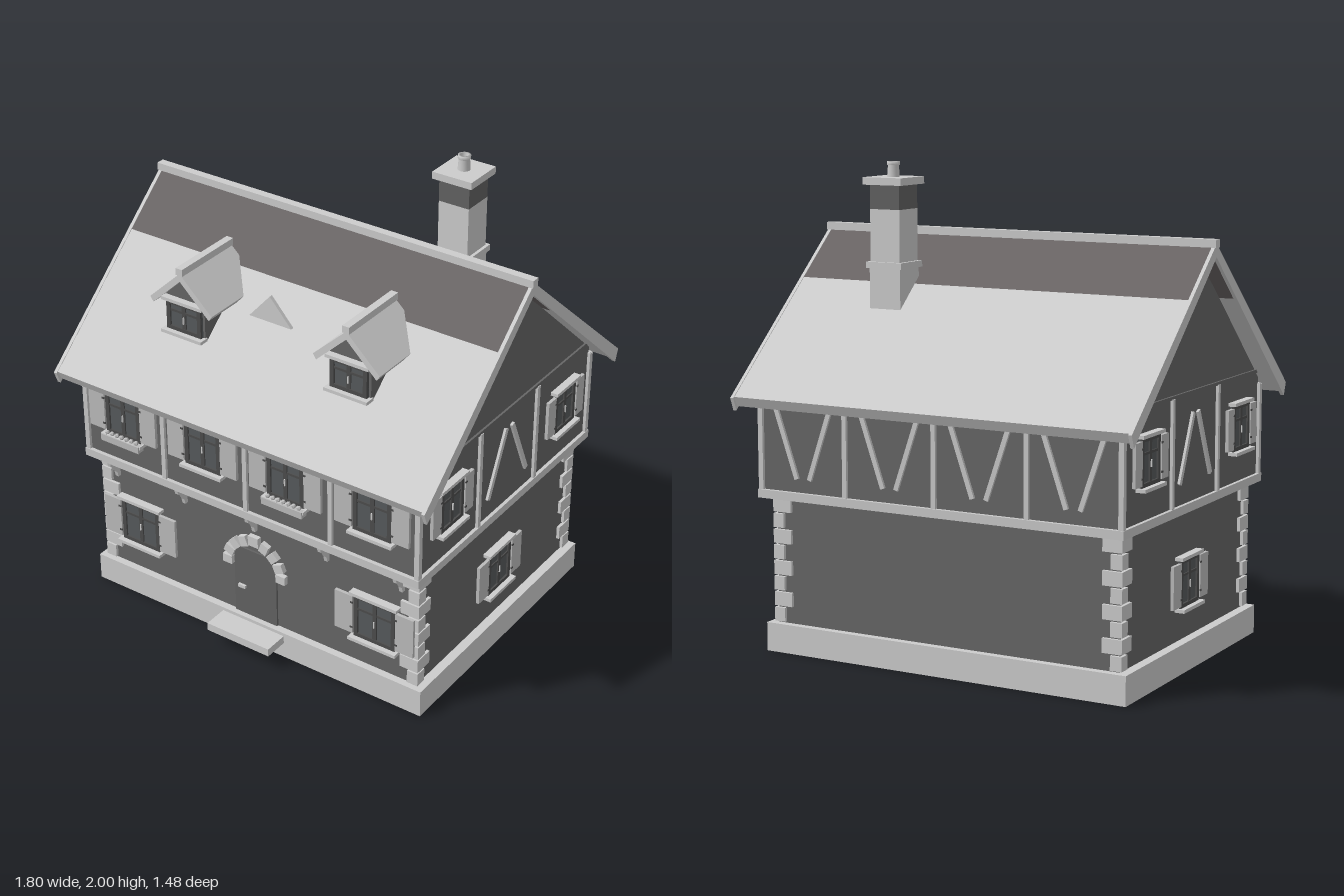
import * as THREE from 'three';

const mat = (name, color) => Object.assign(new THREE.MeshStandardMaterial({ color }), { name });

export function createModel() {
  const M = {
    stone: mat('pale stone', 0xcccccc),
    timber: mat('pale timber', 0xc8c8c8),
    shutter: mat('shutter paint', 0xbbbbbb),
    wall: mat('dark plaster', 0x666666),
    roofDark: mat('dark roof tile', 0x696464),
    frame: mat('window frame', 0x4c4c4c),
    glass: mat('window glass', 0x565a5c),
    door: mat('door wood', 0x626262),
    soot: mat('chimney soot', 0x626262),
  };
  const house = new THREE.Group();
  house.name = 'house';

  const add = (parent, name, geo, m, x = 0, y = 0, z = 0) => {
    const mesh = new THREE.Mesh(geo, m);
    mesh.name = name;
    mesh.position.set(x, y, z);
    parent.add(mesh);
    return mesh;
  };
  const box = (parent, name, m, w, h, d, x, y, z) =>
    add(parent, name, new THREE.BoxGeometry(w, h, d), m, x, y, z);
  const group = (parent, name, x = 0, y = 0, z = 0, turn = 0) => {
    const g = new THREE.Group();
    g.name = name;
    g.position.set(x, y, z);
    g.rotation.y = turn;
    parent.add(g);
    return g;
  };
  const extrude = (pts, depth) => new THREE.ExtrudeGeometry(
    new THREE.Shape(pts.map(p => new THREE.Vector2(...p))), { depth, bevelEnabled: false });
  // Prism with a (z, y) outline running along x
  const prismX = (parent, name, m, pts, x0, x1) => {
    const mesh = add(parent, name, extrude(pts, x1 - x0), m, x1);
    mesh.rotation.y = -Math.PI / 2;
    return mesh;
  };
  // Straight timber between two points of a facade
  const strut = (parent, x0, y0, x1, y1, z) => {
    const b = box(parent, 'brace', M.timber, 0.02, Math.hypot(x1 - x0, y1 - y0), 0.016,
      (x0 + x1) / 2, (y0 + y1) / 2, z);
    b.rotation.z = -Math.atan2(x1 - x0, y1 - y0);
  };

  // Window facing +z, centred on its opening
  const windowUnit = (parent, x, y, z, w, h, { shutter = 0, planter = false } = {}) => {
    const g = group(parent, 'window', x, y, z);
    box(g, 'glass', M.glass, w, h, 0.012, 0, 0, 0.002);
    for (const s of [-1, 1]) {
      box(g, 'frameSide', M.frame, 0.018, h, 0.024, s * (w / 2 - 0.009), 0, 0.004);
      box(g, 'frameRail', M.frame, w, 0.016, 0.024, 0, s * (h / 2 - 0.008), 0.004);
      if (shutter) {
        box(g, 'shutter', M.shutter, shutter, h * 0.9, 0.014, s * (w / 2 + shutter / 2 + 0.004), 0, 0.013);
        for (const v of [-0.3, 0.3])
          box(g, 'hinge', M.frame, 0.012, 0.008, 0.004, s * (w / 2 + 0.008), v * h, 0.02);
      }
    }
    box(g, 'mullion', M.frame, 0.018, h, 0.02, 0, 0, 0.004);
    box(g, 'transom', M.frame, w, 0.01, 0.018, 0, h * 0.17, 0.004);
    box(g, 'handle', M.stone, 0.005, 0.03, 0.006, 0, -0.01, 0.016);
    box(g, 'lintel', M.stone, w + 0.03, 0.014, 0.035, 0, h / 2 + 0.007, 0.012);
    box(g, 'sill', M.stone, w + 0.03, 0.014, 0.045, 0, -h / 2 - 0.007, 0.015);
    if (planter) {
      box(g, 'planter', M.shutter, w + 0.02, 0.03, 0.035, 0, -h / 2 - 0.015, 0.026);
      for (let i = -3; i <= 3; i++)
        add(g, 'flower', new THREE.IcosahedronGeometry(0.011, 0), M.shutter, i * w / 7, -h / 2 + 0.006, 0.028);
    }
  };

  // Foundation, walls and step
  box(house, 'foundation', M.stone, 1.64, 0.12, 1.234, 0, 0.06, 0);
  box(house, 'groundFloor', M.wall, 1.56, 0.54, 1.17, 0, 0.385, 0);
  box(house, 'upperFloor', M.wall, 1.62, 0.45, 1.28, 0, 0.87, 0).scale.y = 0.97;
  prismX(house, 'attic', M.wall,
    [[-0.64, 1.06], [0.64, 1.06], [0.64, 1.105], [0, 1.66], [-0.64, 1.105]], -0.81, 0.81);
  box(house, 'doorStep', M.stone, 0.31, 0.035, 0.125, 0, 0.088, 0.662);

  // Corner stones of alternating length
  for (const sx of [-1, 1]) for (const sz of [-1, 1]) for (let i = 0; i < 8; i++) {
    const a = i % 2 ? 0.085 : 0.05, b = i % 2 ? 0.085 : 0.05;
    box(house, 'cornerStone', M.stone, a, 0.058, b,
      sx * (0.793 - a / 2), 0.155 + i * 0.0655, sz * (0.598 - b / 2));
  }

  // Timber frame: sill beams, eaves beams, corner posts
  for (const s of [-1, 1]) {
    box(house, 'sillBeam', M.timber, 1.65, 0.035, 0.03, 0, 0.667, s * 0.642);
    box(house, 'sillBeam', M.timber, 0.03, 0.035, 1.31, s * 0.81, 0.667, 0);
    box(house, 'eavesBeam', M.timber, 1.64, 0.02, 0.02, 0, 1.058, s * 0.642);
    box(house, 'gableBeam', M.wall, 0.018, 0.014, 1.25, s * 0.81, 1.122, 0);
    for (const t of [-1, 1])
      box(house, 'cornerPost', M.timber, 0.022, 0.39, 0.022, s * 0.812, 0.87, t * 0.642);
  }

  // Long facades
  const front = group(house, 'frontFacade');
  const back = group(house, 'backFacade', 0, 0, 0, Math.PI);
  for (const f of [front, back]) for (const x of [-0.41, 0, 0.41])
    box(f, 'post', M.timber, 0.02, 0.39, 0.025, x, 0.87, 0.64);
  [-0.61, -0.203, 0.203, 0.61].forEach((x, i) => {
    windowUnit(front, x, 0.912, 0.643, 0.175, 0.2, { shutter: 0.08, planter: i % 2 === 0 });
    for (const s of [-1, 1]) strut(back, x + s * 0.03, 0.74, x + s * 0.13, 1.03, 0.643);
  });
  for (const s of [-1, 1])
    windowUnit(front, s * 0.59, 0.355, 0.59, 0.195, 0.2, { shutter: 0.085 });

  // Gable facades
  for (const s of [-1, 1]) {
    const side = group(house, 'gableFacade', 0, 0, 0, s * Math.PI / 2);
    for (const t of [-1, 1]) {
      box(side, 'post', M.timber, 0.02, 0.435, 0.025, t * 0.215, 0.9, 0.81);
      strut(side, t * 0.145, 0.77, t * 0.022, 1.04, 0.813);
      windowUnit(side, t * 0.43, 0.915, 0.813, 0.16, 0.19, { shutter: 0.06 });
    }
    windowUnit(side, 0, 0.355, 0.785, 0.17, 0.195, { shutter: 0.075 });
  }

  // Curved brackets under the overhang
  const curve = [[0.58, 0.65], [0.65, 0.65], [0.645, 0.625], [0.62, 0.605], [0.606, 0.58], [0.6, 0.555], [0.58, 0.555]];
  for (const x of [-0.71, -0.355, 0, 0.355, 0.71])
    prismX(house, 'bracket', M.timber, curve, x - 0.008, x + 0.008);

  // Door with its stone arch
  const door = group(house, 'door', 0, 0, 0.58);
  add(door, 'doorLeaf', extrude([[-0.105, 0.12], [0.105, 0.12], [0.105, 0.43], [0.09, 0.447],
    [-0.09, 0.447], [-0.105, 0.43]], 0.014), M.door);
  box(door, 'doorHandle', M.stone, 0.035, 0.014, 0.015, -0.065, 0.258, 0.018);
  for (let i = 0; i < 9; i++) {
    const a = Math.PI * i / 8, r = i === 4 ? 0.14 : 0.133;
    box(door, 'archStone', M.stone, i === 4 ? 0.05 : 0.038, 0.046, 0.03,
      Math.cos(a) * r, 0.372 + Math.sin(a) * r * 0.96, 0.012).rotation.z = a - Math.PI / 2;
  }

  // Main roof: pale lower and dark upper slopes, verge boards, ridge
  const top = z => 1.7 - 0.866 * z, T = 0.04;
  const slope = (name, m, s, z0, z1, x0, x1, up = 0, t = T) => prismX(house, name, m,
    [[s * z0, top(z0) + up], [s * z1, top(z1) + up], [s * (z1 - 0.02 * (z1 > 0.5)), top(z1) - t], [s * z0, top(z0) - t]], x0, x1);
  for (const s of [-1, 1]) {
    slope('upperRoof', M.roofDark, s, 0, 0.225, -0.88, 0.88);
    slope('lowerRoof', M.stone, s, 0.225, 0.73, -0.88, 0.88);
    for (const x of [-0.895, 0.88])
      slope('vergeBoard', M.stone, s, 0, 0.738, x, x + 0.015, 0.003, 0.05);
  }
  box(house, 'ridge', M.stone, 1.8, 0.032, 0.036, 0, 1.704, 0);

  // Dormers
  for (const s of [-1, 1]) {
    const d = group(house, 'dormer', s * 0.395, 0, 0);
    add(d, 'dormerBody', extrude([[-0.095, 1.29], [0.095, 1.29], [0.095, 1.45], [0, 1.54], [-0.095, 1.45]], 0.29),
      M.wall, 0, 0, 0.2);
    windowUnit(d, 0, 1.367, 0.49, 0.17, 0.13);
    for (const t of [-1, 1]) {
      add(d, 'dormerRoof', extrude([[0, 1.575], [t * 0.153, 1.43], [t * 0.138, 1.408], [0, 1.54]], 0.325),
        M.stone, 0, 0, 0.195);
    }
    box(d, 'dormerRidge', M.stone, 0.032, 0.03, 0.33, 0, 1.583, 0.358);
  }
  add(house, 'roofVent', extrude([[-0.1, 1.46], [0.1, 1.46], [0, 1.573]], 0.015), M.stone, 0, 0, 0.448);

  // Chimney
  const chimney = group(house, 'chimney', 0.41, 0, -0.265);
  box(chimney, 'lowerStack', M.stone, 0.144, 0.25, 0.144, 0, 1.46, 0);
  box(chimney, 'upperStack', M.stone, 0.138, 0.23, 0.138, 0, 1.695, 0);
  box(chimney, 'collar', M.stone, 0.165, 0.026, 0.165, 0, 1.585, 0);
  box(chimney, 'sootBand', M.soot, 0.138, 0.1, 0.138, 0, 1.86, 0);
  box(chimney, 'cap', M.stone, 0.18, 0.03, 0.18, 0, 1.923, 0);
  const pot = [[0.026, 1.935], [0.022, 1.985], [0.026, 1.985], [0.026, 2], [0.017, 2], [0.017, 1.94], [0, 1.94]];
  add(chimney, 'chimneyPot', new THREE.LatheGeometry(pot.map(p => new THREE.Vector2(...p)), 12), M.stone);

  return house;
}
